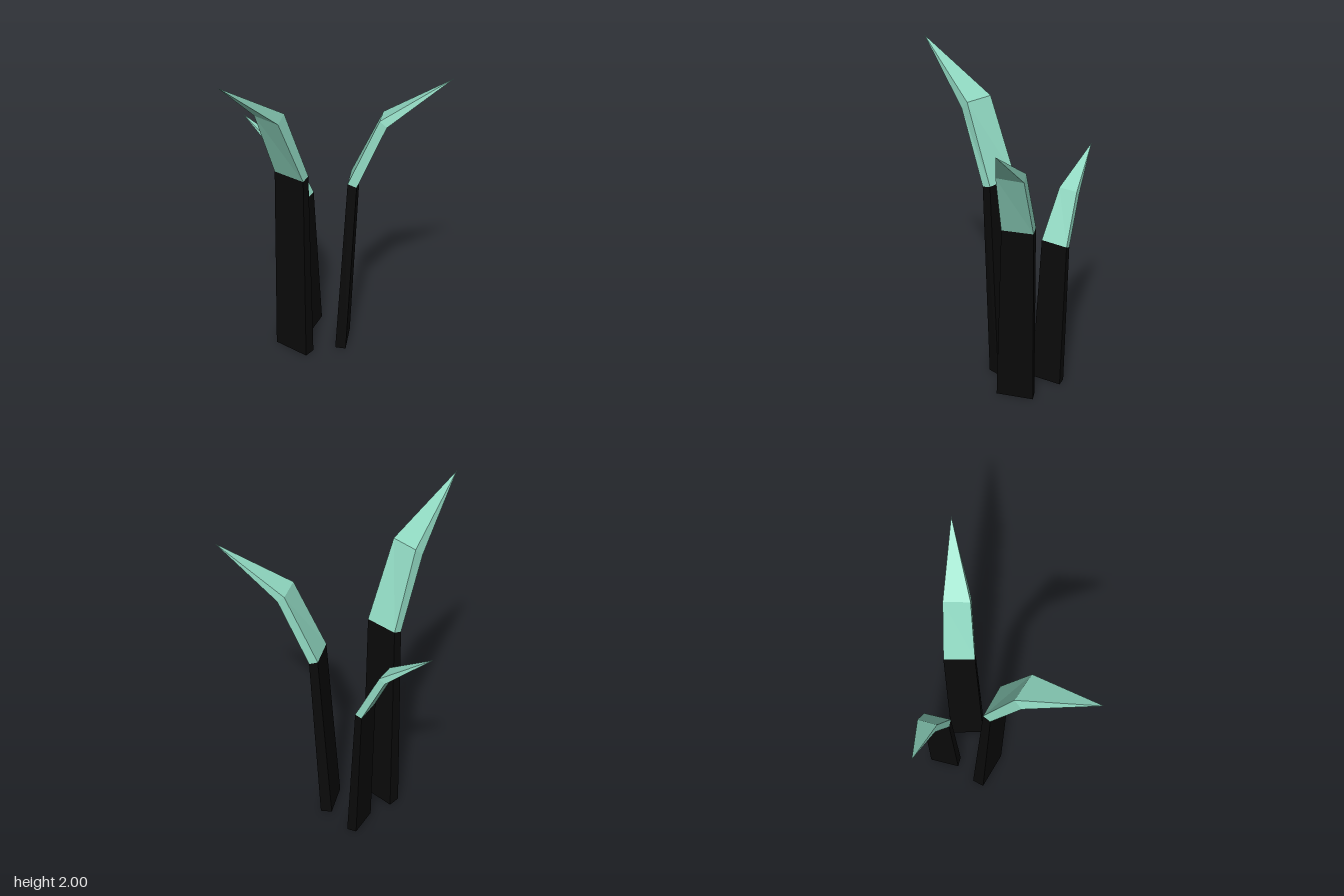
import * as THREE from 'three';

const darkStem = new THREE.MeshStandardMaterial({ color: 0x0a0a0a, flatShading: true });
darkStem.name = 'dark stem';
const mintTip = new THREE.MeshStandardMaterial({ color: 0x90d8c1, flatShading: true });
mintTip.name = 'mint tip';

// Joins four-cornered rings (corners clockwise from above); a single point closes to a tip.
function loft(rings, capBottom) {
  const out = [];
  const tri = (...points) => points.forEach((p) => out.push(...p));
  for (let i = 0; i < rings.length - 1; i++) {
    const low = rings[i], high = rings[i + 1];
    for (let k = 0; k < 4; k++) {
      const n = (k + 1) % 4;
      if (high.length === 1) {
        tri(low[k], high[0], low[n]);
      } else {
        tri(low[k], high[k], high[n]);
        tri(low[k], high[n], low[n]);
      }
    }
  }
  if (capBottom) {
    const [a, b, c, d] = rings[0];
    tri(a, b, c);
    tri(a, c, d);
  }
  const geometry = new THREE.BufferGeometry();
  geometry.setAttribute('position', new THREE.Float32BufferAttribute(out, 3));
  geometry.computeVertexNormals();
  return geometry;
}

// Each ring has two inner corners, then two outer corners.
const blades = [
  {
    name: 'tallRightBlade',
    base: [[0.085, 0, -0.2], [0.08, 0, 0.04], [0.005, 0, 0.04], [0.01, 0, -0.2]],
    joint: [[0.015, 1.26, -0.16], [0.015, 1.26, 0.045], [-0.04, 1.245, 0.05], [-0.035, 1.245, -0.165]],
    bend: [[-0.172, 1.72, -0.145], [-0.185, 1.72, 0.03], [-0.235, 1.67, 0.027], [-0.222, 1.67, -0.155]],
    tip: [-0.63, 2, -0.05],
  },
  {
    name: 'shortBackBlade',
    base: [[0.42, 0, -0.15], [0.235, 0, -0.1], [0.22, 0, -0.16], [0.4, 0, -0.205]],
    joint: [[0.395, 0.915, -0.205], [0.235, 0.92, -0.165], [0.225, 0.9, -0.205], [0.383, 0.9, -0.243]],
    bend: [[0.342, 1.21, -0.34], [0.228, 1.21, -0.315], [0.222, 1.185, -0.35], [0.333, 1.185, -0.373]],
    tip: [0.21, 1.4, -0.61],
  },
  {
    name: 'frontLeftBlade',
    base: [[0.19, 0, 0.13], [0.375, 0, 0.025], [0.415, 0, 0.08], [0.218, 0, 0.19]],
    joint: [[0.245, 1.15, 0.16], [0.407, 1.15, 0.07], [0.432, 1.13, 0.115], [0.27, 1.13, 0.208]],
    bend: [[0.345, 1.56, 0.305], [0.485, 1.555, 0.235], [0.505, 1.52, 0.272], [0.362, 1.525, 0.345]],
    tip: [0.63, 1.81, 0.61],
  },
];

export function createModel() {
  const model = new THREE.Group();
  for (const { name, base, joint, bend, tip } of blades) {
    const blade = new THREE.Group();
    blade.name = name;
    // Dark lower length
    const stem = new THREE.Mesh(loft([base, joint], true), darkStem);
    stem.name = 'stem';
    // Mint end, bending outward to a point
    const point = new THREE.Mesh(loft([joint, bend, [tip]], false), mintTip);
    point.name = 'bentTip';
    blade.add(stem, point);
    model.add(blade);
  }
  return model;
}
